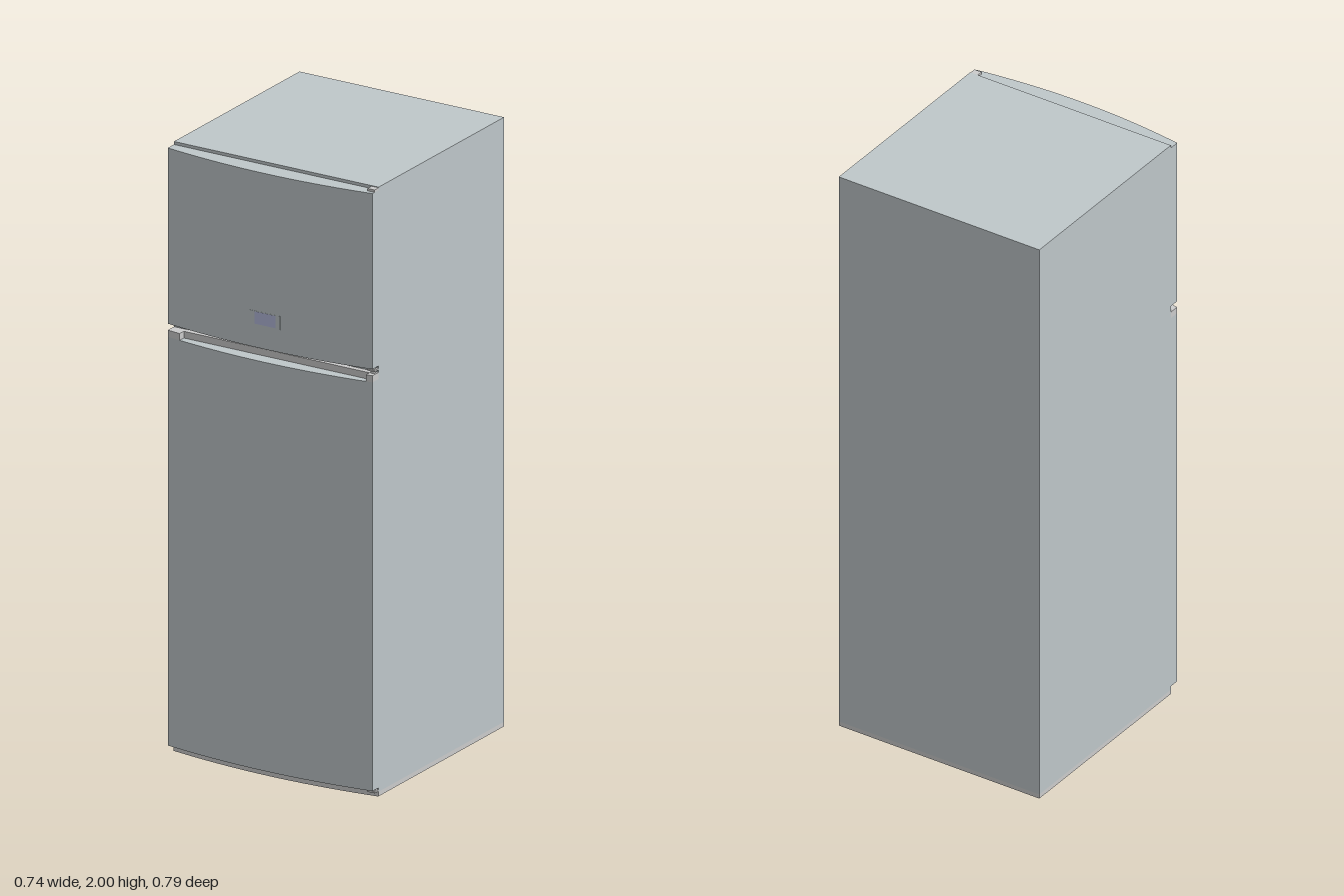
import * as THREE from 'three';

const W = 0.372, BACK = -0.394, SEAM = 0.327;

const paint = (color) => new THREE.MeshStandardMaterial({ color, flatShading: true });
const shell = paint(0xbfc7ca), trim = paint(0xcccccc), blue = paint(0xb4b8dc);

// depth of the bowed door front at a given x
const bow = (x) => 0.362 + 0.0295 * (1 - (x / W) ** 2);

// points along the bowed front between two x values
function arc(x0, x1, offset = 0, steps = 18) {
  const pts = [];
  for (let i = 0; i <= steps; i++) {
    const x = x0 + ((x1 - x0) * i) / steps;
    pts.push([x, bow(x) + offset]);
  }
  return pts;
}

export function createModel() {
  const group = new THREE.Group();

  function add(name, geometry, material) {
    const mesh = new THREE.Mesh(geometry, material);
    mesh.name = name;
    group.add(mesh);
    return mesh;
  }

  function box(name, x0, x1, y0, y1, z0, z1, material) {
    const g = new THREE.BoxGeometry(x1 - x0, y1 - y0, z1 - z0);
    g.translate((x0 + x1) / 2, (y0 + y1) / 2, (z0 + z1) / 2);
    return add(name, g, material);
  }

  // raises a plan outline of [x, z] points from y0 to y1
  function slab(name, plan, y0, y1, material) {
    const shape = new THREE.Shape(plan.map(([x, z]) => new THREE.Vector2(x, -z)));
    const g = new THREE.ExtrudeGeometry(shape, { depth: y1 - y0, bevelEnabled: false });
    g.rotateX(-Math.PI / 2).translate(0, y0, 0);
    return add(name, g, material);
  }

  // cabinet and its base
  box('cabinet', -W, W, 0.015, 2, BACK, SEAM, shell);
  box('base', -W, W, 0, 0.015, BACK, SEAM, trim);
  slab('plinth', [[-W, SEAM], ...arc(-W, W, -0.033), [W, SEAM]], 0, 0.017, trim);

  // doors with bowed fronts
  const doorPlan = [[-W, SEAM], ...arc(-W, W), [W, SEAM]];
  slab('freezerDoor', doorPlan, 1.413, 1.99, shell);
  slab('fridgeDoor', doorPlan, 0.028, 1.37, shell);

  // top edge of the lower door, cut away for the finger grip
  const gripL = -0.325, gripR = 0.35, gripBack = 0.345;
  slab('gripEdge', [
    [-W, SEAM], ...arc(-W, gripL, 0, 2), [gripL, gripBack],
    [gripR, gripBack], ...arc(gripR, W, 0, 2), [W, SEAM],
  ], 1.37, 1.392, trim);

  // control panel
  box('controlPanel', -0.055, 0.055, 1.488, 1.532, 0.385, 0.3918, shell);
  box('display', -0.038, 0.038, 1.49, 1.53, 0.386, 0.3922, blue);

  // hinges on the left edge: plate and pin
  for (const [y0, y1, pin] of [[0.017, 0.022, 0.028], [1.4, 1.405, 1.413], [1.99, 1.998, 1.99]]) {
    box('hingePlate', 0.346, W, y0, y1, SEAM - 0.005, 0.35, trim);
    const low = y0 > 1 && y0 < 1.9 ? 1.392 : y0;
    if (pin > low) {
      const g = new THREE.CylinderGeometry(0.008, 0.008, pin - low, 12);
      g.translate(0.359, (pin + low) / 2, 0.338);
      add('hingePin', g, trim);
    }
  }
  return group;
}
